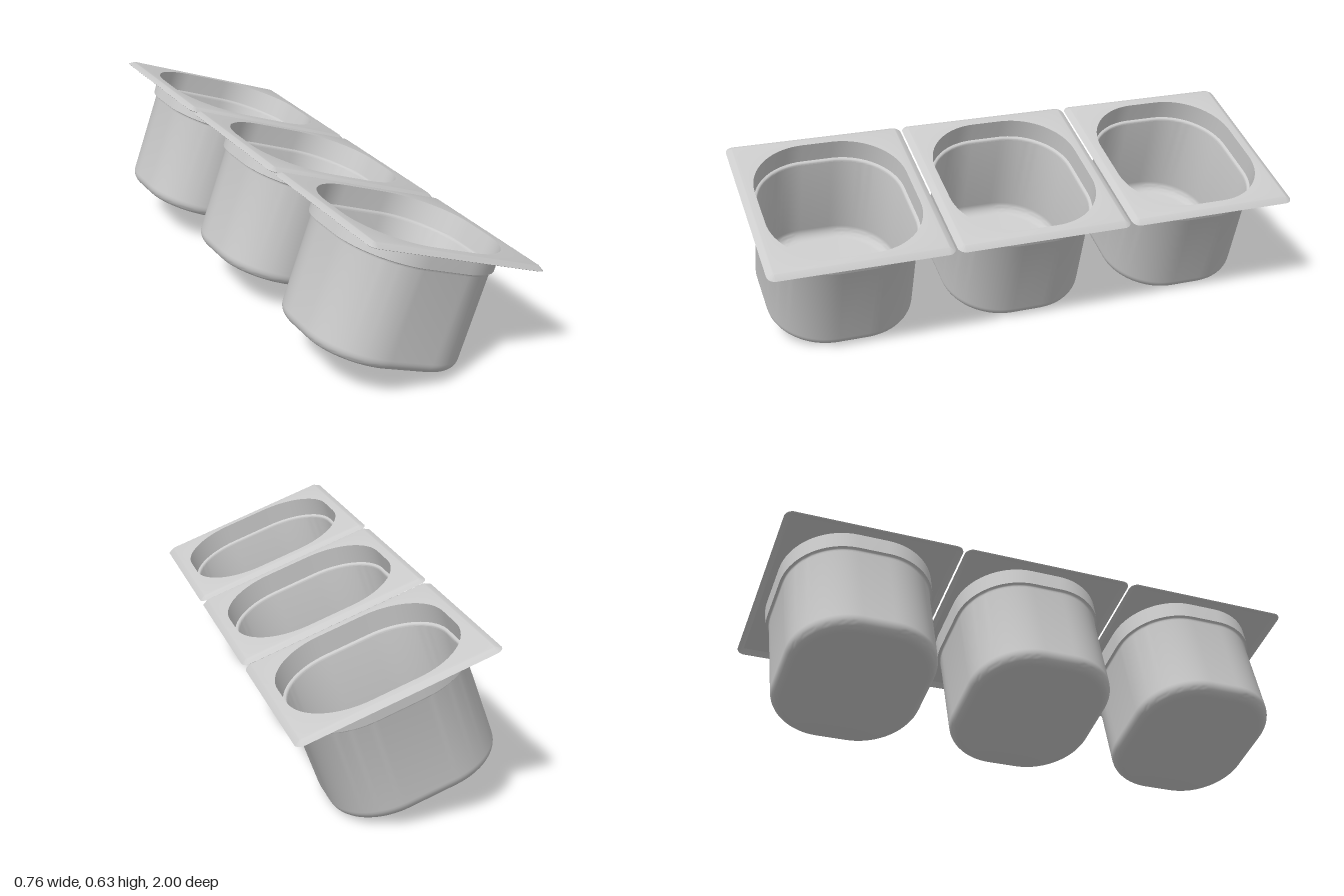
import * as THREE from 'three';
import { toCreasedNormals } from 'three/addons/utils/BufferGeometryUtils.js';

const TILT = THREE.MathUtils.degToRad(20);
const CORNER_STEPS = 18;
const WALL = 0.005;

// Closed loop: rounded rectangle of half sizes hx, hz at height y
function ring(hx, hz, r, y) {
  const points = [];
  for (let c = 0; c < 4; c++) {
    const sx = c === 0 || c === 3 ? 1 : -1;
    const sz = c < 2 ? 1 : -1;
    for (let i = 0; i <= CORNER_STEPS; i++) {
      const a = (c + i / CORNER_STEPS) * Math.PI / 2;
      points.push([sx * (hx - r) + r * Math.cos(a), y, sz * (hz - r) + r * Math.sin(a)]);
    }
  }
  return points;
}

// Cross-section of the tub, grown by an offset
const tubRing = (offset, y) => ring(0.299 + offset, 0.27 + offset, 0.215 + offset, y);
// Cross-section of the rim, shrunk by an inset
const rimRing = (inset, y) => ring(0.361 - inset, 0.331 - inset, 0.03 - inset, y);

// Skin neighbouring loops with triangles
function loft(rings) {
  const n = rings[0].length;
  const index = [];
  for (let i = 0; i < rings.length - 1; i++) {
    for (let j = 0; j < n; j++) {
      const k = (j + 1) % n;
      const a = i * n + j, b = i * n + k, c = (i + 1) * n + k, d = (i + 1) * n + j;
      if (i > 0) index.push(a, d, b);
      if (i < rings.length - 2) index.push(b, d, c);
    }
  }
  const geometry = new THREE.BufferGeometry();
  geometry.setAttribute('position', new THREE.Float32BufferAttribute(rings.flat(2), 3));
  geometry.setIndex(index);
  return toCreasedNormals(geometry, 0.5);
}

// Wall profile from floor to neck as [offset, height], moved inwards by t
function wallProfile(t) {
  const profile = [];
  const floor = 0.049, radius = 0.042;
  for (let i = 0; i <= 8; i++) { // floor fillet
    const a = i / 8 * Math.PI / 2;
    const r = radius - t;
    profile.push([-radius + r * Math.sin(a), floor + radius - r * Math.cos(a)]);
  }
  profile.push([-t, 0.413]);
  for (let i = 1; i <= 4; i++) { // stacking shoulder
    const a = i / 4 * Math.PI / 2;
    profile.push([0.012 * (1 - Math.cos(a)) - t, 0.413 + 0.01 * Math.sin(a)]);
  }
  return profile;
}

function panGeometry() {
  const outer = wallProfile(0).map(([o, y]) => tubRing(o, y));
  const inner = wallProfile(WALL).map(([o, y]) => tubRing(o, y)).reverse();
  return loft([
    ring(0, 0, 0, 0.049),
    ...outer,
    tubRing(0.013, 0.493),
    // rim with a sloping lip
    rimRing(0.024, 0.493),
    rimRing(0.004, 0.482),
    rimRing(0, 0.484),
    rimRing(0.02, 0.497),
    rimRing(0.024, 0.498),
    tubRing(0.009, 0.498),
    ...inner,
    ring(0, 0, 0, 0.049 + WALL),
  ]);
}

export function createModel() {
  const model = new THREE.Group();
  model.name = 'tiltedPanRow';
  const material = new THREE.MeshStandardMaterial({ color: 0xcccccc });
  const geometry = panGeometry();

  // Three tilted pans in a row
  ['backPan', 'middlePan', 'frontPan'].forEach((name, i) => {
    const pan = new THREE.Mesh(geometry, material);
    pan.name = name;
    pan.rotation.z = -TILT;
    pan.position.set(-0.127, 0.046, (i - 1) * 0.669);
    model.add(pan);
  });
  return model;
}
